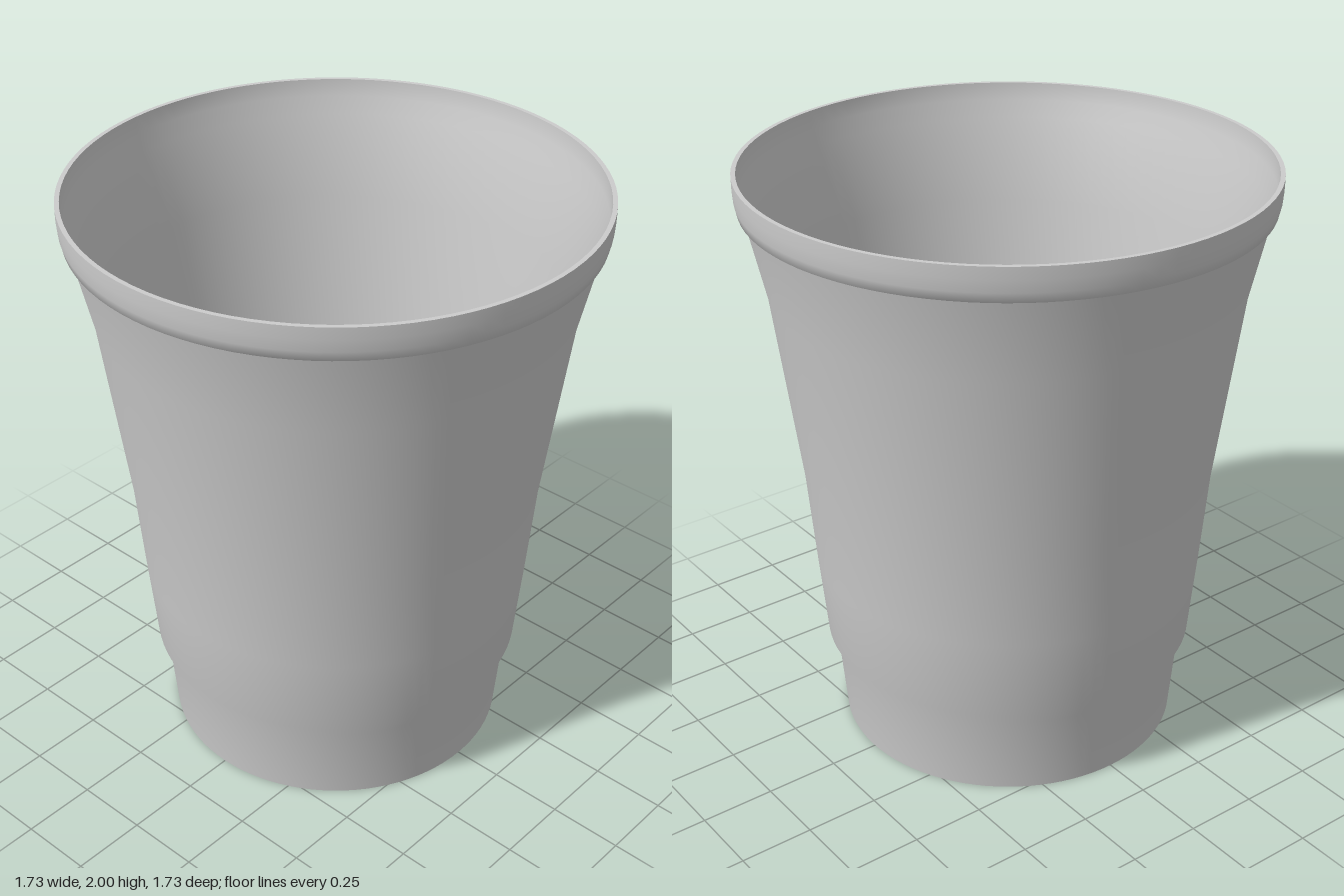
import * as THREE from 'three';

const material = new THREE.MeshStandardMaterial({ color: 0xcccccc });

// Revolve a profile of [radius, height] pairs around the y axis.
function revolve(name, profile) {
  const points = profile.map(([r, y]) => new THREE.Vector2(r, y));
  const mesh = new THREE.Mesh(new THREE.LatheGeometry(points, 96), material);
  mesh.name = name;
  return mesh;
}

export function createModel() {
  const cup = new THREE.Group();
  cup.name = 'cup';

  // Wall profile, from the foot up through the step to the flared top.
  const wall = [
    [0.58, 0], [0.605, 0.28], [0.635, 0.33], [0.662, 0.62],
    [0.69, 0.95], [0.775, 1.6], [0.837, 1.88],
  ];
  const thickness = 0.015;
  const floorY = 0.015;
  const innerWall = wall.map(([r, y]) => [r - thickness, Math.max(y, floorY)]);
  innerWall[0][0] = 0.568;

  // Outer shell
  cup.add(revolve('outerWall', wall));
  cup.add(revolve('rimBand', [[0.837, 1.88], [0.855, 1.888], [0.862, 1.92], [0.865, 1.96], [0.865, 2]]));
  cup.add(revolve('rimTop', [[0.865, 2], [0.85, 2]]));

  // Inner shell, traced downwards so that it faces the axis
  cup.add(revolve('innerWall', [[0.85, 2], [0.846, 1.94], ...innerWall.reverse()]));

  // Floor inside and base underneath
  cup.add(revolve('floor', [[0.568, floorY], [0, floorY]]));
  cup.add(revolve('base', [[0, 0], [0.58, 0]]));

  return cup;
}
